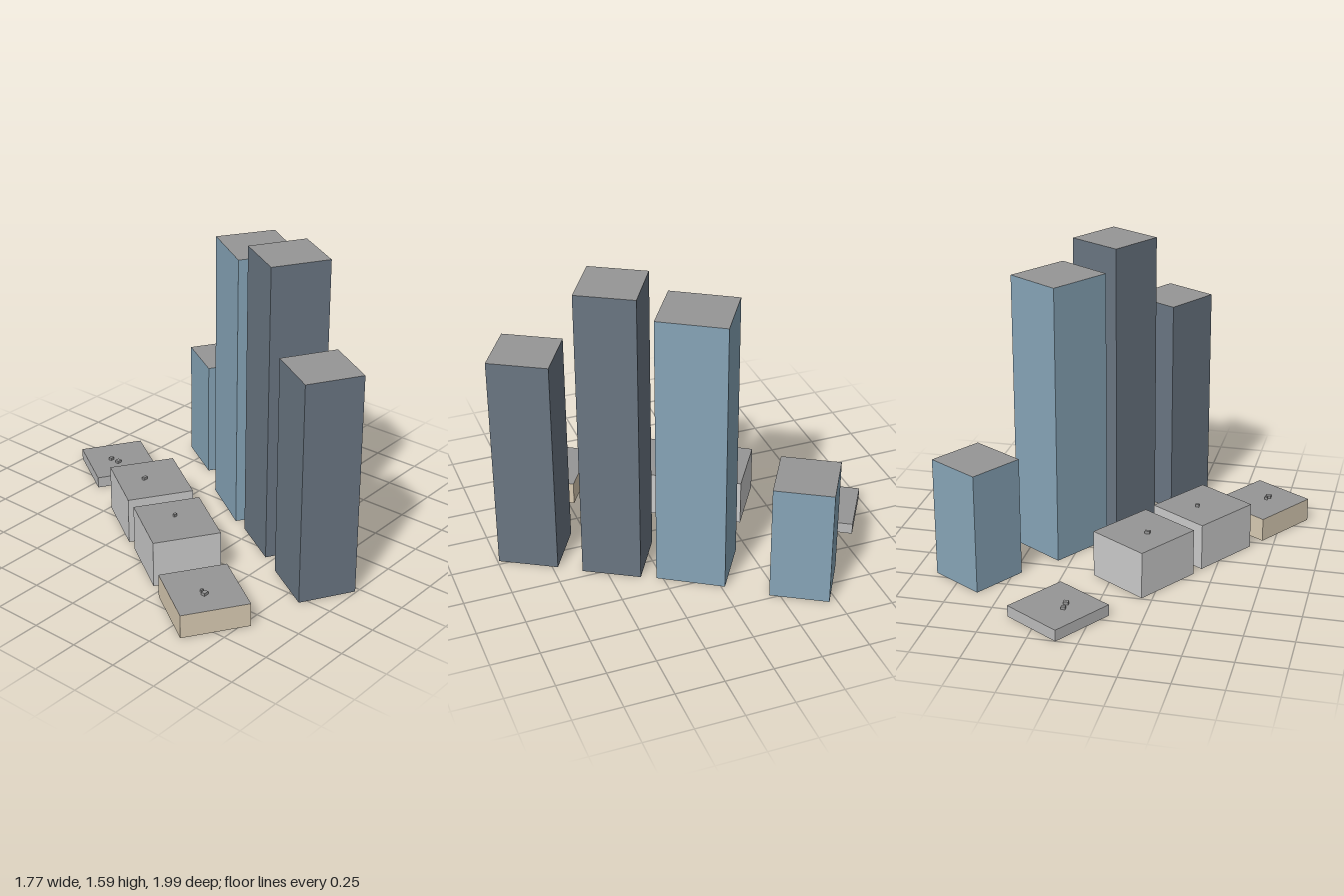
import * as THREE from 'three';

const material = (color) =>
  new THREE.MeshStandardMaterial({ color, side: THREE.DoubleSide });

const slate = material(0x6a7682);
const blue = material(0x87a5b8);
const beige = material(0xd9cbb3);
const paleGrey = material(0xcccccc);
const midGrey = material(0xbbbbbb);
const roofGrey = material(0x969696);

// Each building: centre x/z, width, depth, height, turn in degrees.
// vents: x, z, size x, size z of the small boxes on its roof.
const buildings = [
  { name: 'lowGreyBlock', x: 0.16, z: -0.76, w: 0.343, d: 0.355, h: 0.06, turn: 32, wall: midGrey,
    vents: [[0.125, -0.79, 0.022, 0.018], [0.125, -0.738, 0.026, 0.022]] },
  { name: 'shortBlueTower', x: 0.673, z: -0.41, w: 0.31, d: 0.303, h: 0.633, turn: 31, wall: blue },
  { name: 'greyBlockBack', x: -0.152, z: -0.241, w: 0.347, d: 0.373, h: 0.248, turn: 32.7, wall: paleGrey,
    vents: [[-0.176, -0.264, 0.026, 0.016]] },
  { name: 'tallBlueTower', x: 0.355, z: 0.046, w: 0.319, d: 0.355, h: 1.482, turn: 32.3, wall: blue },
  { name: 'greyBlockFront', x: -0.384, z: 0.138, w: 0.349, d: 0.373, h: 0.246, turn: 32.9, wall: paleGrey,
    vents: [[-0.362, 0.108, 0.019, 0.013]] },
  { name: 'tallSlateTower', x: 0.149, z: 0.405, w: 0.309, d: 0.304, h: 1.587, turn: 30.5, wall: slate },
  { name: 'lowBeigeBlock', x: -0.64, z: 0.534, w: 0.351, d: 0.373, h: 0.125, turn: 32.8, wall: beige,
    vents: [[-0.674, 0.566, 0.028, 0.022], [-0.665, 0.54, 0.016, 0.011]] },
  { name: 'slateTower', x: -0.079, z: 0.782, w: 0.301, d: 0.312, h: 1.177, turn: 30.3, wall: slate },
];

function addMesh(parent, name, geometry, mat) {
  const mesh = new THREE.Mesh(geometry, mat);
  mesh.name = name;
  parent.add(mesh);
  return mesh;
}

// Four walls of a box standing on y = 0, without top and bottom
function wallGeometry(w, h, d) {
  const geometry = new THREE.BoxGeometry(w, h, d).translate(0, h / 2, 0);
  const index = Array.from(geometry.index.array);
  geometry.setIndex([...index.slice(0, 12), ...index.slice(24)]);
  geometry.clearGroups();
  return geometry;
}

function createBuilding({ name, x, z, w, d, h, turn, wall, vents = [] }) {
  const building = new THREE.Group();
  building.name = name;
  building.position.set(x, 0, z);

  // Hollow shell, open underneath
  const shell = new THREE.Group();
  shell.name = 'shell';
  shell.rotation.y = -THREE.MathUtils.degToRad(turn);
  building.add(shell);
  addMesh(shell, 'walls', wallGeometry(w, h, d), wall);
  const roof = new THREE.PlaneGeometry(w, d).rotateX(-Math.PI / 2).translate(0, h, 0);
  addMesh(shell, 'roof', roof, roofGrey);

  // Roof vents stay square to the world axes
  const ventHeight = 0.015;
  for (const [vx, vz, sx, sz] of vents) {
    const vent = addMesh(building, 'roofVent', new THREE.BoxGeometry(sx, ventHeight, sz), roofGrey);
    vent.position.set(vx - x, h + ventHeight / 2, vz - z);
  }
  return building;
}

export function createModel() {
  const model = new THREE.Group();
  model.name = 'cityBlock';
  for (const spec of buildings) model.add(createBuilding(spec));
  return model;
}
